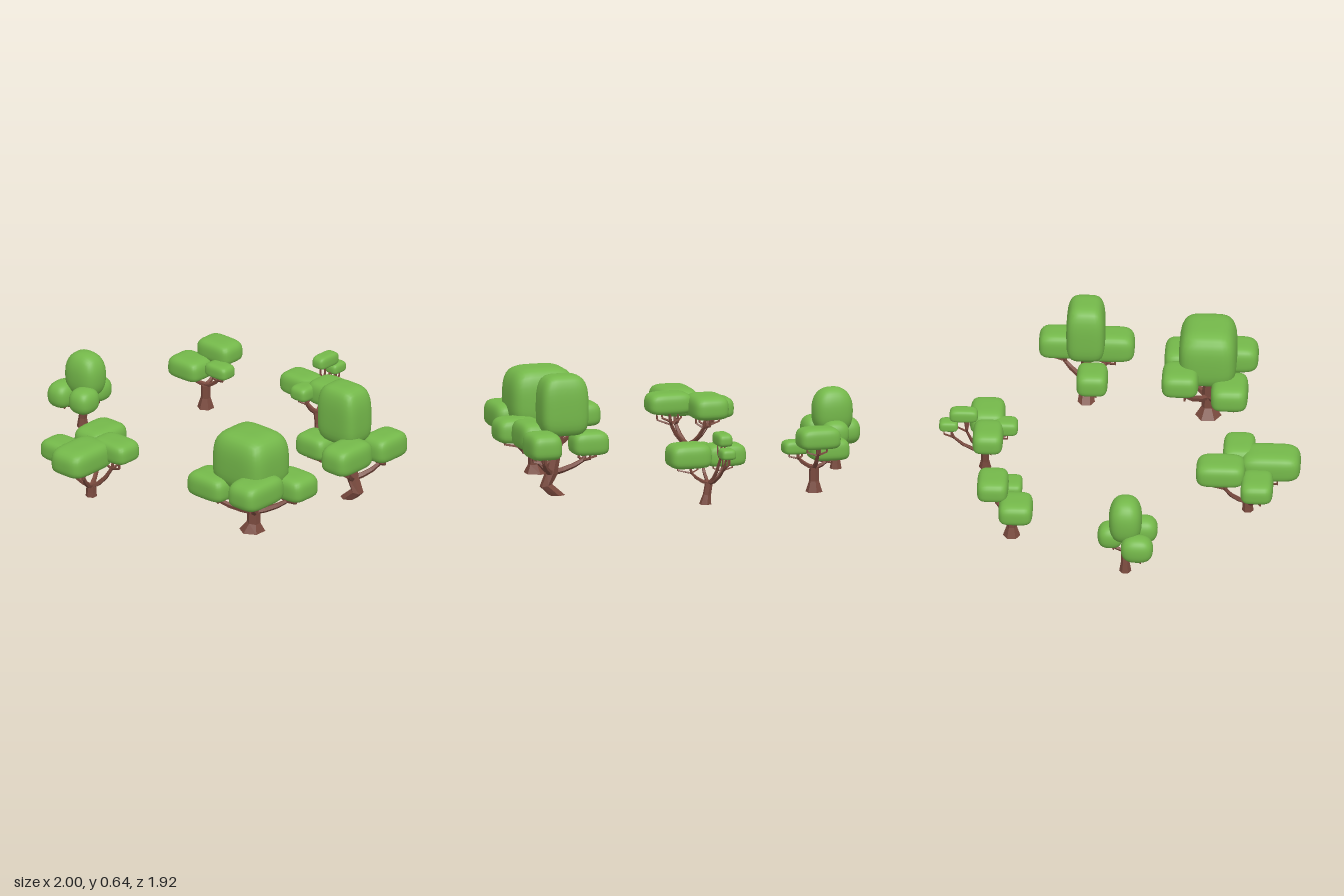
import * as THREE from 'three';
import { mergeVertices, mergeGeometries } from 'three/addons/utils/BufferGeometryUtils.js';

const leafMat = new THREE.MeshStandardMaterial({ color: 0x74b84a });
const barkMat = new THREE.MeshStandardMaterial({ color: 0x7a4a3e, flatShading: true });
const V = (x, y, z) => new THREE.Vector3(x, y, z);

// Leaf clump: a cube relaxed to a superellipsoid, a little narrower on top, standing on y
function clumpGeometry({ x, y, z, w, h, d }, power) {
  let g = new THREE.BoxGeometry(2, 2, 2, 10, 10, 10);
  g.deleteAttribute('uv');
  g.deleteAttribute('normal');
  g = mergeVertices(g);
  const p = g.attributes.position;
  const v = V(0, 0, 0);
  for (let i = 0; i < p.count; i++) {
    v.fromBufferAttribute(p, i);
    v.divideScalar((Math.abs(v.x) ** power + Math.abs(v.y) ** power + Math.abs(v.z) ** power) ** (1 / power));
    const taper = 1 - 0.12 * Math.max(0, v.y) ** 2;
    p.setXYZ(i, v.x * taper, v.y, v.z * taper);
  }
  g.scale(w / 2, h / 2, d / 2);
  g.translate(x, y + h / 2, z);
  g.computeVertexNormals();
  return g;
}

// Faceted limb: polygon rings along a bent path, one radius per point
function limb(points, radii, sides) {
  const pos = [], index = [];
  const up = V(0, 1, 0), q = new THREE.Quaternion();
  points.forEach((pt, i) => {
    const a = points[Math.max(0, i - 1)], b = points[Math.min(points.length - 1, i + 1)];
    q.setFromUnitVectors(up, pt.y === 0 ? up : b.clone().sub(a).normalize());
    for (let k = 0; k < sides; k++) {
      const t = ((k + 0.5) / sides) * Math.PI * 2;
      const c = V(Math.cos(t) * radii[i], 0, Math.sin(t) * radii[i]).applyQuaternion(q).add(pt);
      pos.push(c.x, c.y, c.z);
      if (i > 0) {
        const k2 = (k + 1) % sides, lo = (i - 1) * sides, hi = i * sides;
        index.push(lo + k, hi + k, hi + k2, lo + k, hi + k2, lo + k2);
      }
    }
  });
  const last = (points.length - 1) * sides;
  for (let k = 1; k < sides - 1; k++) {
    index.push(0, k, k + 1, last, last + k + 1, last + k);
  }
  const g = new THREE.BufferGeometry();
  g.setAttribute('position', new THREE.Float32BufferAttribute(pos, 3));
  g.setIndex(index);
  const flat = g.toNonIndexed();
  flat.computeVertexNormals();
  return flat;
}

// Branch from the fork: outward, elbow, then up, splitting into three twigs under the clump
function branch(fork, { x, y, z, w, h, d }, r) {
  const inside = y + h * 0.4, rise = y - fork.y;
  const at = (t, lift) => V(fork.x + (x - fork.x) * t, fork.y + rise * lift, fork.z + (z - fork.z) * t);
  const split = at(0.85, 0.65);
  const parts = [limb([fork, at(0.3, 0.12), at(0.6, 0.35), split, V(x, inside, z)],
    [r, r * 0.9, r * 0.8, r * 0.65, r * 0.4], 5)];
  for (let k = 0; k < 3; k++) {
    const a = 0.6 + (k * Math.PI * 2) / 3;
    const tip = V(x + Math.cos(a) * w * 0.3, inside, z + Math.sin(a) * d * 0.3);
    const knee = split.clone().lerp(tip, 0.9);
    knee.y = split.y + (y - split.y) * 0.4;
    parts.push(limb([split, knee, tip], [r * 0.5, r * 0.45, r * 0.3], 4));
  }
  return parts;
}

// One tree at (x, z). The trunk has radius r, flares at the ground, bends sideways at
// half height and forks at forkY. A crown sits on a trunk that runs on past the fork.
// Each clump is [x, y, z, width, depth] from the trunk foot; squash sets its height.
function makeTree(name, { x, z, r, flare, forkY, bend = 0, lean = 0, squash, power = 4.5, crown, clumps }) {
  const tree = new THREE.Group();
  tree.name = name;
  tree.position.set(x, 0, z);
  const add = (part, geometry, material) => {
    const mesh = new THREE.Mesh(geometry, material);
    mesh.name = part;
    tree.add(mesh);
  };

  const fork = V(lean, forkY, 0);
  const path = [V(0, 0, 0), V(bend, forkY * 0.45, 0), fork];
  const radii = [r * flare, r, r * 0.95];
  if (crown) {
    path.push(V(crown.x, crown.y + 0.06, crown.z));
    radii.push(r * 0.6);
    add('crown', clumpGeometry(crown, power), leafMat);
  }
  add('trunk', limb(path, radii, 6), barkMat);

  const sides = clumps.map(([cx, cy, cz, w, d]) =>
    ({ x: cx, y: cy, z: cz, w, d, h: squash * Math.sqrt(w * d) }));
  add('branches', mergeGeometries(sides.flatMap((c) => branch(fork, c, r * 0.52))), barkMat);
  sides.forEach((c, i) => add(`leafClump${i + 1}`, clumpGeometry(c, power), leafMat));
  return tree;
}

export function createModel() {
  const model = new THREE.Group();
  model.name = 'treeRing';

  // Thin trees along the back
  model.add(makeTree('backTree', {
    x: 0.13, z: -0.725, r: 0.022, flare: 1.5, forkY: 0.11, bend: -0.01, lean: -0.02, squash: 0.64,
    clumps: [[-0.11, 0.2, 0.02, 0.22, 0.16], [0.09, 0.2, 0.01, 0.23, 0.185], [-0.06, 0.33, -0.11, 0.08, 0.15],
      [-0.06, 0.27, -0.19, 0.08, 0.1], [-0.015, 0.23, 0.105, 0.11, 0.14]],
  }));
  model.add(makeTree('backLeftTree', {
    x: -0.53, z: -0.555, r: 0.027, flare: 1.7, forkY: 0.13, squash: 0.6,
    clumps: [[0.01, 0.25, -0.1, 0.225, 0.165], [-0.085, 0.165, 0.025, 0.21, 0.18], [0.1, 0.21, 0, 0.15, 0.105]],
  }));

  // Round-leaved tree at the side
  model.add(makeTree('roundTree', {
    x: -0.85, z: 0.06, r: 0.023, flare: 1.4, forkY: 0.12, lean: 0.01, squash: 0.95, power: 2.7,
    crown: { x: 0.02, y: 0.19, z: 0, w: 0.215, h: 0.25, d: 0.175 },
    clumps: [[-0.08, 0.12, 0.065, 0.135, 0.17], [0.09, 0.14, 0.09, 0.14, 0.155], [0.03, 0.14, -0.08, 0.145, 0.135]],
  }));

  // Low spreading tree in front
  model.add(makeTree('spreadingTree', {
    x: -0.23, z: 0.68, r: 0.028, flare: 1.1, forkY: 0.055, squash: 0.57,
    clumps: [[-0.06, 0.22, -0.14, 0.195, 0.26], [0.125, 0.24, -0.05, 0.24, 0.17],
      [-0.145, 0.185, 0.055, 0.23, 0.17], [0.04, 0.205, 0.12, 0.215, 0.315]],
  }));

  // Two big crowned trees
  model.add(makeTree('largeTree', {
    x: 0.69, z: 0.43, r: 0.037, flare: 1.9, forkY: 0.11, bend: 0.01, lean: 0.01, squash: 0.62,
    crown: { x: -0.01, y: 0.26, z: 0, w: 0.355, h: 0.315, d: 0.305 },
    clumps: [[-0.18, 0.27, -0.14, 0.225, 0.195], [0.16, 0.2, -0.14, 0.24, 0.195],
      [-0.17, 0.19, 0.12, 0.25, 0.195], [0.13, 0.23, 0.115, 0.195, 0.29]],
  }));
  model.add(makeTree('tallTree', {
    x: 0.79, z: -0.22, r: 0.035, flare: 1.3, forkY: 0.12, bend: 0.06, lean: 0.03, squash: 0.7,
    crown: { x: -0.03, y: 0.32, z: 0, w: 0.26, h: 0.325, d: 0.205 },
    clumps: [[-0.19, 0.2, 0.04, 0.2, 0.165], [0.125, 0.225, -0.14, 0.175, 0.23], [0.095, 0.23, 0.12, 0.18, 0.265]],
  }));
  return model;
}
